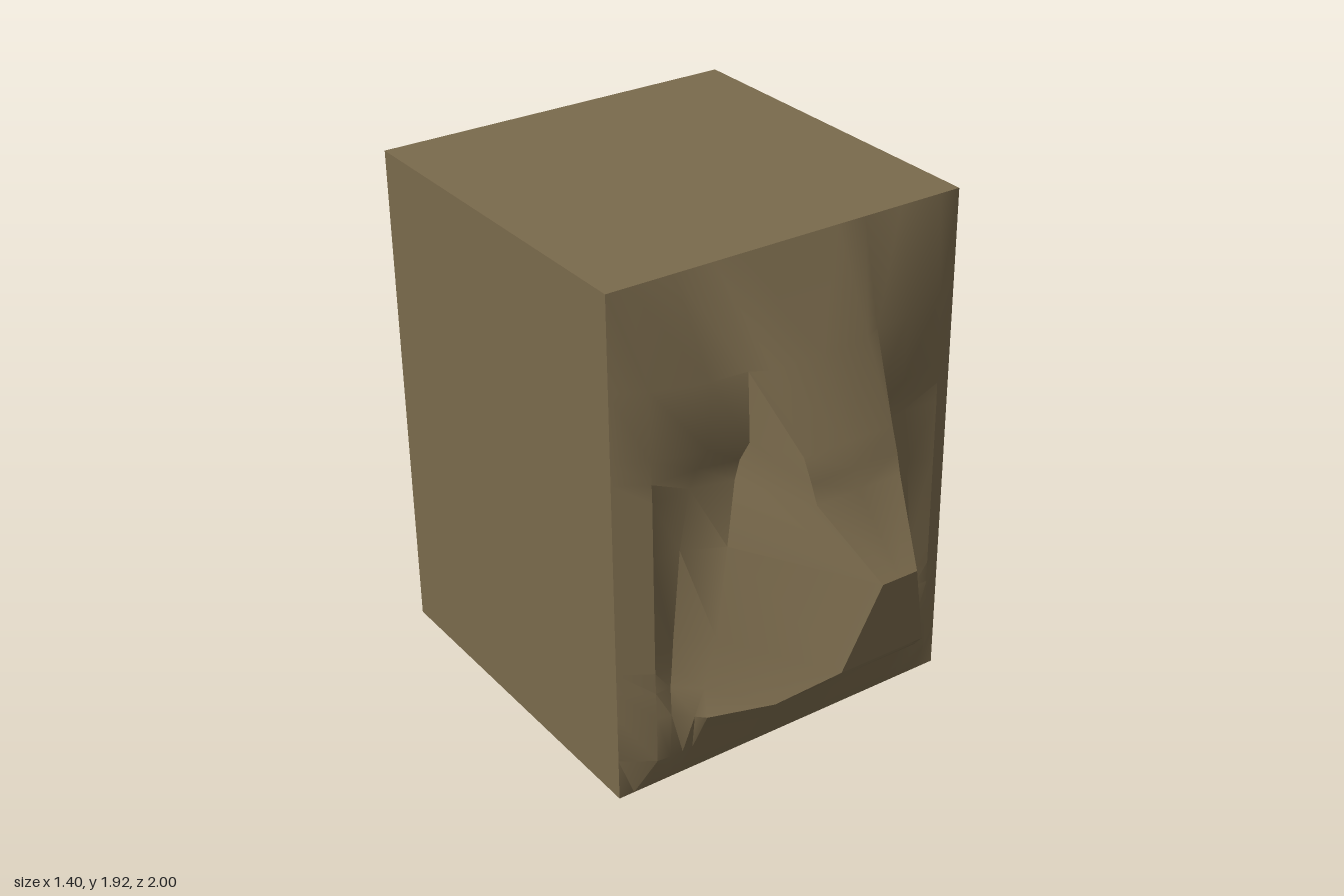
import * as THREE from 'three';
import { toCreasedNormals } from 'three/addons/utils/BufferGeometryUtils.js';

const W = 0.7, H = 1.92, FRONT = 0.4, BACK = -1;

// Half cross-sections of the face, top to bottom:
// [y, centre z, then x,z of ridge, ridge foot, cheek hollow, rim]
const ROWS = [
  [1.92, 0.40, 0.19, 0.40, 0.30, 0.40, 0.45, 0.40, 0.62, 0.40],
  [1.58, 0.57, 0.19, 0.57, 0.26, 0.53, 0.40, 0.52, 0.59, 0.46],
  [1.33, 0.72, 0.18, 0.72, 0.26, 0.54, 0.40, 0.51, 0.59, 0.465],
  [1.25, 0.755, 0.175, 0.755, 0.27, 0.50, 0.42, 0.47, 0.59, 0.468],
  [1.18, 0.78, 0.17, 0.78, 0.29, 0.50, 0.44, 0.46, 0.59, 0.47],
  [0.96, 1.00, 0.07, 1.00, 0.34, 0.53, 0.48, 0.46, 0.59, 0.47],
  [0.62, 0.93, 0.17, 0.93, 0.39, 0.54, 0.51, 0.46, 0.59, 0.47],
  [0.52, 0.77, 0.24, 0.83, 0.42, 0.54, 0.52, 0.465, 0.59, 0.47],
  [0.44, 0.75, 0.30, 0.75, 0.44, 0.54, 0.53, 0.47, 0.59, 0.472],
  [0.34, 0.57, 0.45, 0.57, 0.48, 0.54, 0.54, 0.49, 0.59, 0.475],
  [0.16, 0.48, 0.45, 0.48, 0.49, 0.48, 0.54, 0.48, 0.59, 0.475],
  [0.00, 0.40, 0.45, 0.40, 0.50, 0.40, 0.57, 0.40, 0.64, 0.40],
];

// Lofts the rows into a face, mirrored about x = 0
function faceGeometry() {
  const positions = [], index = [];
  const cols = 11;
  for (const [y, cz, ...p] of ROWS) {
    const half = [];
    for (let i = 0; i < p.length; i += 2) half.push([p[i], p[i + 1]]);
    half.push([W, FRONT]);
    const line = [...half.map(([x, z]) => [-x, z]).reverse(), [0, cz], ...half];
    for (const [x, z] of line) positions.push(x, y, z);
  }
  for (let r = 0; r < ROWS.length - 1; r++) {
    for (let c = 0; c < cols - 1; c++) {
      const a = r * cols + c, b = a + 1, d = a + cols, e = d + 1;
      if (c < 5) index.push(a, d, e, a, e, b);
      else index.push(a, d, b, b, d, e);
    }
  }
  const g = new THREE.BufferGeometry();
  g.setAttribute('position', new THREE.Float32BufferAttribute(positions, 3));
  g.setIndex(index);
  return toCreasedNormals(g, 0.6);
}

export function createModel() {
  const group = new THREE.Group();
  group.name = 'animalHeadBlock';
  const brown = new THREE.MeshStandardMaterial({ color: 0x7a6a4c, side: THREE.DoubleSide });
  brown.name = 'brown';

  const add = (name, geometry) => {
    const mesh = new THREE.Mesh(geometry, brown);
    mesh.name = name;
    group.add(mesh);
    return mesh;
  };

  // Sculpted face with snout, brows and mouth
  add('face', faceGeometry());

  // Hollow shell behind the face, open underneath
  const depth = FRONT - BACK, midZ = (FRONT + BACK) / 2;
  for (const [name, s] of [['leftWall', 1], ['rightWall', -1]]) {
    const wall = add(name, new THREE.PlaneGeometry(depth, H));
    wall.position.set(s * W, H / 2, midZ);
    wall.rotation.y = s * Math.PI / 2;
  }
  const back = add('backWall', new THREE.PlaneGeometry(2 * W, H));
  back.position.set(0, H / 2, BACK);
  back.rotation.y = Math.PI;
  const top = add('topPanel', new THREE.PlaneGeometry(2 * W, depth));
  top.position.set(0, H, midZ);
  top.rotation.x = -Math.PI / 2;

  return group;
}
